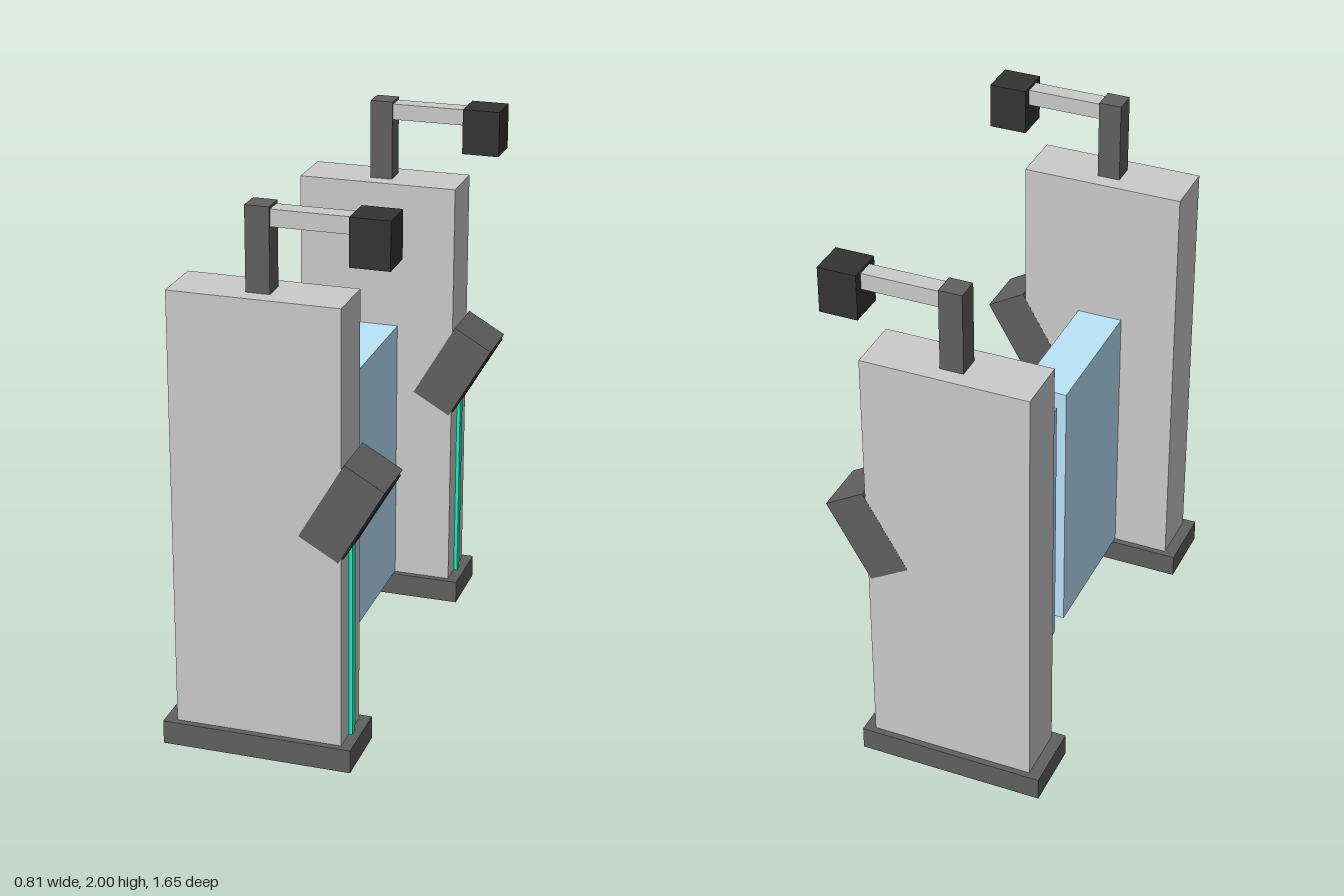
import * as THREE from 'three';

const material = (color) => new THREE.MeshStandardMaterial({ color });
const grey = material(0xcccccc);
const darkGrey = material(0x606060);
const charcoal = material(0x333333);
const black = material(0x262626);
const paleBlue = material(0xbbe4fa);
const green = material(0x12f8bc);

// Box given by its lower and upper limits on each axis
function box(name, mat, [x0, x1], [y0, y1], [z0, z1]) {
  const mesh = new THREE.Mesh(new THREE.BoxGeometry(x1 - x0, y1 - y0, z1 - z0), mat);
  mesh.name = name;
  mesh.position.set((x0 + x1) / 2, (y0 + y1) / 2, (z0 + z1) / 2);
  return mesh;
}

// One gate post; z is measured from the post centre, inward is -1 or 1
function createPost(inward) {
  const post = new THREE.Group();
  post.add(
    box('basePlate', darkGrey, [-0.41, 0.285], [0, 0.088], [-0.128, 0.128]),
    box('cabinet', grey, [-0.365, 0.245], [0.088, 1.7], [-0.104, 0.104]),
    box('lightStrip', green, [0.235, 0.258], [0.088, 0.82], [-0.017, 0.017]),
    // Overhead camera on a bracket
    box('cameraPole', darkGrey, [-0.105, -0.02], [1.7, 2], [-0.043, 0.043]),
    box('cameraArm', grey, [-0.104, 0.27], [1.93, 1.99], [-0.033, 0.033]),
    box('cameraHead', charcoal, [0.26, 0.4], [1.83, 2], [-0.068, 0.068])
  );

  // Tilted reader, half sunk into the cabinet
  const reader = new THREE.Group();
  reader.name = 'reader';
  reader.add(
    box('readerBody', darkGrey, [-0.082, 0.082], [-0.162, 0.162], [-0.1045, 0.1045]),
    box('readerScreen', black, [0.07, 0.088], [-0.15, 0.15], [-0.087, 0.087])
  );
  reader.position.set(0.245, 0.97, 0);
  reader.rotation.z = -Math.PI / 6;
  post.add(reader);

  // Barrier leaf reaching toward the other post
  const reach = [0.1 * inward, 0.652 * inward].sort((a, b) => a - b);
  post.add(box('barrierLeaf', paleBlue, [-0.15, 0.025], [0.09, 1.135], reach));
  return post;
}

export function createModel() {
  const model = new THREE.Group();
  model.name = 'accessGate';
  for (const side of [-1, 1]) {
    const post = createPost(-side);
    post.name = side > 0 ? 'frontPost' : 'backPost';
    post.position.z = side * 0.696;
    model.add(post);
  }
  return model;
}
